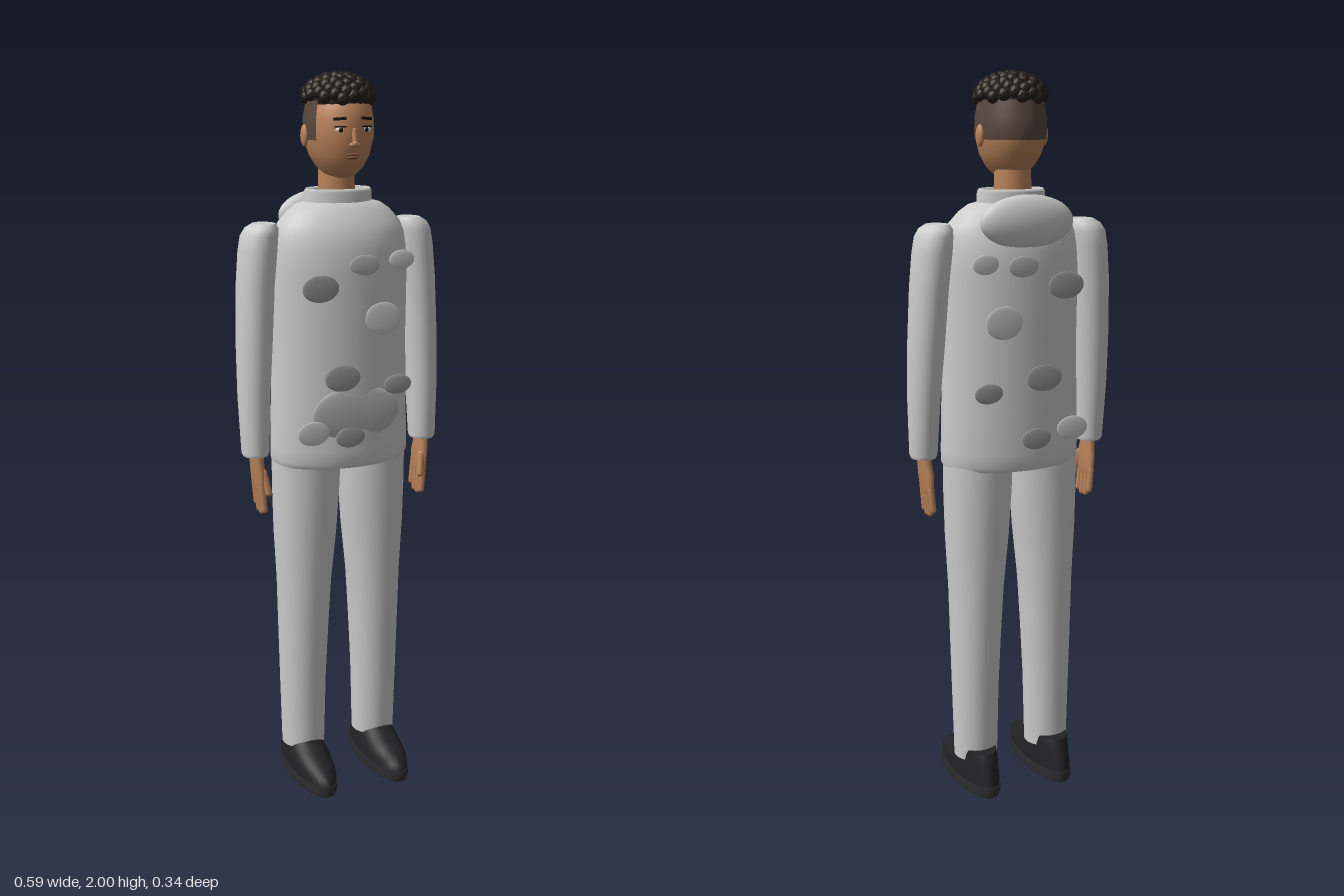
import * as THREE from 'three';

const mat = (color, extra = {}) => new THREE.MeshStandardMaterial({ color, ...extra });
const cloth = mat(0xcccccc);
const clothOpen = mat(0xcccccc, { side: THREE.DoubleSide });
const darkCloth = mat(0x9a9a9a);
const midCloth = mat(0xb4b4b4);
const skin = mat(0xb98259);
const fadeMat = mat(0x57463d, { side: THREE.DoubleSide });
const hairMat = mat(0x241d18);
const curlMat = mat(0x241d18, { flatShading: true });
const shoeMat = mat(0x222224);
const soleMat = mat(0x2e2e30);
const white = mat(0xe8e4de);
const black = mat(0x17120f);
const lipMat = mat(0x7d4a3c);

// Skin over elliptical rings [y, cx, cz, rx, rz], listed bottom to top
function loft(rings, { caps = true, from = 0, arc = Math.PI * 2, n = 32 } = {}) {
  const rows = rings.slice();
  if (caps) {
    const shut = (r) => [r[0], r[1], r[2], 0.0001, 0.0001];
    const a = rings[0], b = rings[rings.length - 1];
    rows.unshift(shut(a), a);
    rows.push(b, shut(b));
  }
  const closed = arc > 6.28, cols = closed ? n : n + 1;
  const pos = [], idx = [];
  for (const [y, cx, cz, rx, rz] of rows)
    for (let j = 0; j < cols; j++) {
      const a = from + (arc * j) / n;
      pos.push(cx + rx * Math.cos(a), y, cz + rz * Math.sin(a));
    }
  for (let i = 0; i < rows.length - 1; i++)
    for (let j = 0; j < n; j++) {
      const p = i * cols + j, q = i * cols + ((j + 1) % cols);
      idx.push(p, p + cols, q, q, p + cols, q + cols);
    }
  const g = new THREE.BufferGeometry();
  g.setAttribute('position', new THREE.Float32BufferAttribute(pos, 3));
  g.setIndex(idx);
  g.computeVertexNormals();
  return g;
}

function add(parent, name, geo, material, p = [0, 0, 0]) {
  const m = new THREE.Mesh(geo, material);
  m.name = name;
  m.position.set(...p);
  parent.add(m);
  return m;
}

// Ellipsoid with radii r
function blob(parent, name, material, p, r, detail = 20) {
  const m = add(parent, name, new THREE.SphereGeometry(1, detail, Math.ceil(detail * 0.7)), material, p);
  m.scale.set(...r);
  return m;
}

// Rounded rod between two points
function rod(parent, name, material, a, b, r) {
  const va = new THREE.Vector3(...a), d = new THREE.Vector3(...b).sub(va);
  const m = add(parent, name, new THREE.CapsuleGeometry(r, d.length(), 4, 10), material);
  m.position.copy(va).addScaledVector(d, 0.5);
  m.quaternion.setFromUnitVectors(new THREE.Vector3(0, 1, 0), d.normalize());
}

function buildJacket(root) {
  add(root, 'torso', loft([
    [0.95, 0, -0.028, 0.192, 0.118], [0.965, 0, -0.028, 0.2, 0.126], [1.0, 0, -0.028, 0.2, 0.127],
    [1.15, 0, -0.028, 0.196, 0.127], [1.3, 0, -0.028, 0.193, 0.127], [1.48, 0, -0.028, 0.195, 0.128],
    [1.54, 0, -0.028, 0.191, 0.125], [1.58, 0, -0.028, 0.185, 0.116], [1.61, 0, -0.029, 0.173, 0.104],
    [1.64, 0, -0.031, 0.146, 0.086], [1.658, 0, -0.033, 0.12, 0.072], [1.665, 0, -0.035, 0.09, 0.06],
  ], { n: 48 }), cloth);
  add(root, 'collar', loft([
    [1.63, 0, -0.035, 0.096, 0.066], [1.69, 0, -0.035, 0.095, 0.065], [1.698, 0, -0.035, 0.09, 0.061],
    [1.69, 0, -0.035, 0.085, 0.056], [1.64, 0, -0.035, 0.083, 0.054],
  ], { caps: false }), clothOpen);
  blob(root, 'hood', cloth, [0, 1.618, -0.135], [0.133, 0.07, 0.038], 32);

  // Thin oval patches repeated on front and back: x, y, half width, half height
  const patches = [
    [-0.105, 1.45, 0.052, 0.036, darkCloth], [0.02, 1.505, 0.043, 0.028, midCloth],
    [0.128, 1.515, 0.037, 0.026, cloth], [0.075, 1.36, 0.053, 0.044, cloth],
    [-0.042, 1.205, 0.052, 0.036, darkCloth], [0.12, 1.175, 0.041, 0.027, darkCloth],
    [-0.127, 1.06, 0.046, 0.033, cloth], [-0.02, 1.04, 0.043, 0.029, darkCloth],
  ];
  for (const [x, y, w, h, m] of patches) {
    blob(root, 'frontPatch', m, [x, y, 0.098], [w, h, 0.004]);
    blob(root, 'backPatch', m, [x, y, -0.157], [w, h, 0.004]);
  }
  blob(root, 'frontPocket', midCloth, [0, 1.105, 0.09], [0.127, 0.075, 0.011], 28);
}

// One side's arm, hand, leg and shoe, on +x
function buildLimbs() {
  const g = new THREE.Group();
  add(g, 'sleeve', loft([
    [0.985, 0.253, -0.018, 0.034, 0.037], [0.995, 0.253, -0.018, 0.038, 0.041], [1.15, 0.252, -0.025, 0.044, 0.05],
    [1.3, 0.246, -0.032, 0.049, 0.057], [1.45, 0.238, -0.038, 0.051, 0.061], [1.54, 0.229, -0.04, 0.052, 0.063],
    [1.58, 0.224, -0.04, 0.05, 0.06], [1.6, 0.218, -0.038, 0.044, 0.053], [1.612, 0.212, -0.036, 0.03, 0.038],
  ]), cloth);
  add(g, 'palm', loft([
    [0.885, 0.245, -0.019, 0.01, 0.036], [0.9, 0.245, -0.019, 0.014, 0.041], [0.94, 0.247, -0.018, 0.017, 0.04],
    [0.97, 0.25, -0.017, 0.018, 0.03], [1.0, 0.252, -0.017, 0.02, 0.026],
  ], { n: 16 }), skin);
  [0.834, 0.826, 0.828, 0.842].forEach((tip, i) => {
    const z = 0.012 - i * 0.021;
    rod(g, 'finger', skin, [0.245, 0.9, z], [0.24, tip, z], 0.009);
  });
  rod(g, 'thumb', skin, [0.24, 0.94, 0.01], [0.231, 0.885, 0.022], 0.01);
  add(g, 'trouserLeg', loft([
    [0.09, 0.112, -0.037, 0.062, 0.061], [0.3, 0.112, -0.036, 0.067, 0.067], [0.45, 0.11, -0.035, 0.072, 0.074],
    [0.6, 0.107, -0.034, 0.078, 0.08], [0.75, 0.103, -0.033, 0.09, 0.085], [0.88, 0.1, -0.032, 0.096, 0.088],
    [0.98, 0.098, -0.032, 0.098, 0.088],
  ]), cloth);
  add(g, 'sole', loft([
    [0, 0.113, 0.003, 0.058, 0.163], [0.01, 0.113, 0.003, 0.061, 0.167], [0.032, 0.113, 0.003, 0.061, 0.167],
  ]), soleMat);
  add(g, 'shoeUpper', loft([
    [0.03, 0.113, 0.003, 0.059, 0.165], [0.052, 0.113, 0.001, 0.058, 0.159], [0.07, 0.113, -0.012, 0.056, 0.14],
    [0.09, 0.113, -0.036, 0.052, 0.11], [0.107, 0.113, -0.055, 0.048, 0.085], [0.122, 0.113, -0.063, 0.044, 0.07],
  ]), shoeMat);
  return g;
}

function buildHead(root) {
  const head = new THREE.Group();
  head.name = 'head';
  root.add(head);
  add(head, 'neck', new THREE.CylinderGeometry(0.048, 0.052, 0.13, 24), skin, [0, 1.7, -0.045]);
  add(head, 'skull', loft([
    [1.726, 0, -0.02, 0.02, 0.03], [1.735, 0, -0.022, 0.041, 0.055], [1.755, 0, -0.025, 0.061, 0.078],
    [1.785, 0, -0.028, 0.078, 0.096], [1.82, 0, -0.031, 0.088, 0.106], [1.85, 0, -0.032, 0.09, 0.109],
    [1.88, 0, -0.032, 0.089, 0.107], [1.91, 0, -0.032, 0.083, 0.1], [1.94, 0, -0.032, 0.066, 0.08],
    [1.96, 0, -0.032, 0.04, 0.05],
  ]), skin);
  // Short hair around the sides and back
  add(head, 'hairFade', loft([
    [1.825, 0, -0.031, 0.0905, 0.1085], [1.85, 0, -0.032, 0.092, 0.111],
    [1.88, 0, -0.032, 0.091, 0.109], [1.925, 0, -0.032, 0.083, 0.098],
  ], { caps: false, from: Math.PI - 0.44, arc: Math.PI + 0.88 }), fadeMat);

  // Tight curls spread in a spiral over a cap
  blob(head, 'hairCap', hairMat, [0, 1.925, -0.033], [0.083, 0.06, 0.097]);
  const curl = new THREE.IcosahedronGeometry(0.0185, 1);
  const count = 64;
  for (let i = 0; i < count; i++) {
    const up = 1 - (i + 0.2) / count, r = Math.sqrt(1 - up * up), a = i * 2.39996;
    add(head, 'curl', curl, curlMat, [0.081 * r * Math.cos(a), 1.929 + 0.053 * up, -0.033 + 0.095 * r * Math.sin(a)]);
  }

  // Face
  for (const s of [-1, 1]) {
    blob(head, 'ear', skin, [s * 0.092, 1.835, -0.042], [0.01, 0.029, 0.017]);
    blob(head, 'eye', white, [s * 0.036, 1.853, 0.066], [0.014, 0.007, 0.006], 12);
    blob(head, 'iris', black, [s * 0.036, 1.853, 0.071], [0.006, 0.006, 0.003], 12);
    const lash = add(head, 'eyelid', new THREE.BoxGeometry(0.03, 0.003, 0.012), black, [s * 0.036, 1.861, 0.068]);
    lash.rotation.y = s * 0.35;
    const brow = add(head, 'eyebrow', new THREE.BoxGeometry(0.034, 0.007, 0.01), black, [s * 0.037, 1.881, 0.066]);
    brow.rotation.set(0, s * 0.4, -s * 0.08);
    blob(head, 'nostril', skin, [s * 0.008, 1.815, 0.077], [0.007, 0.006, 0.008], 12);
  }
  rod(head, 'noseBridge', skin, [0, 1.852, 0.073], [0, 1.82, 0.081], 0.007);
  blob(head, 'noseTip', skin, [0, 1.818, 0.08], [0.009, 0.009, 0.01], 12);
  blob(head, 'upperLip', lipMat, [0, 1.79, 0.069], [0.02, 0.004, 0.006], 12);
  blob(head, 'lowerLip', lipMat, [0, 1.782, 0.066], [0.016, 0.005, 0.006], 12);
}

export function createModel() {
  const root = new THREE.Group();
  root.name = 'standingFigure';
  buildJacket(root);
  buildHead(root);
  const left = buildLimbs();
  left.name = 'leftLimbs';
  const right = buildLimbs();
  right.name = 'rightLimbs';
  right.scale.x = -1;
  root.add(left, right);
  return root;
}
